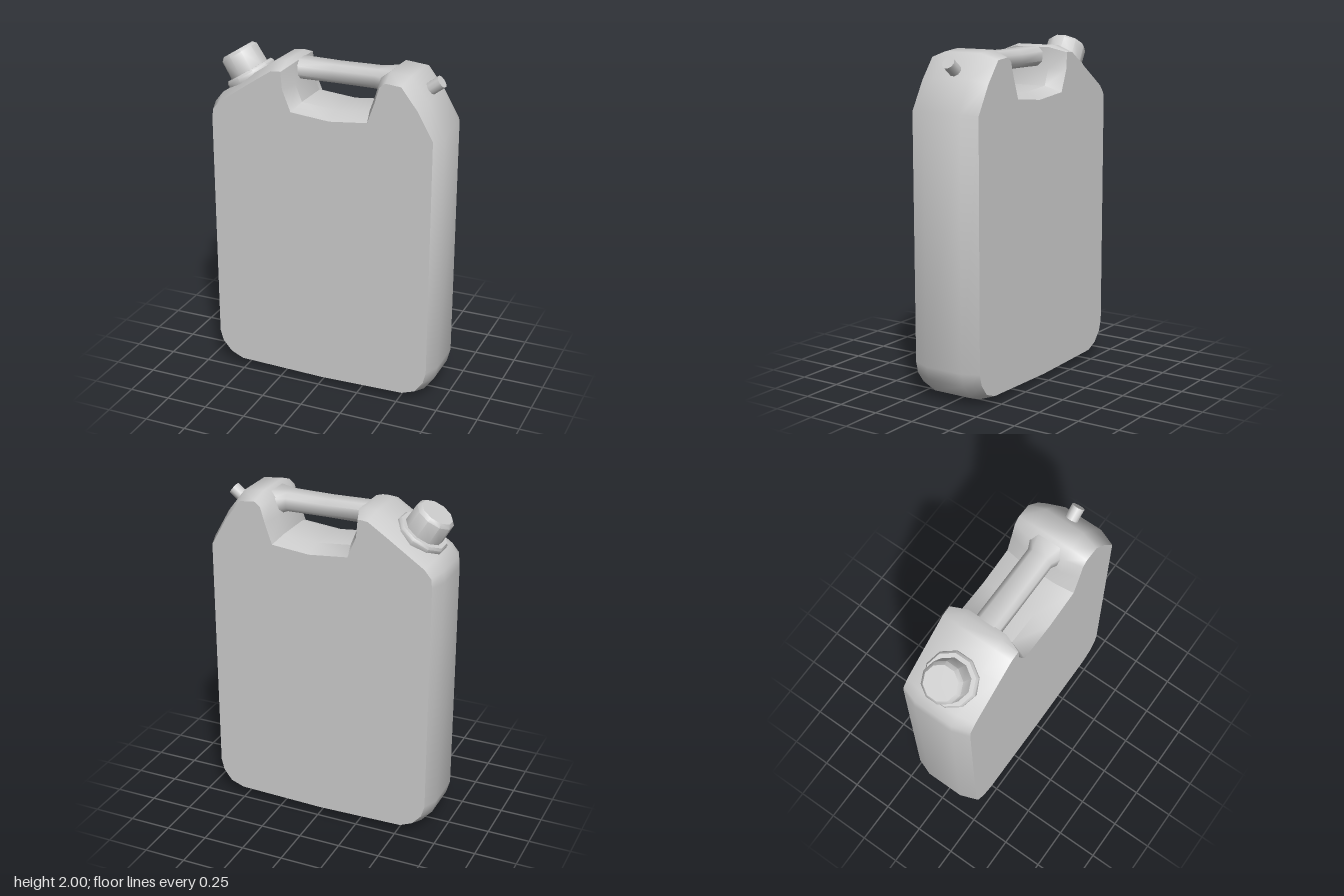
import * as THREE from 'three';
import { toCreasedNormals } from 'three/addons/utils/BufferGeometryUtils.js';

const material = new THREE.MeshStandardMaterial({ color: 0xcccccc });

function part(name, geometry) {
  const mesh = new THREE.Mesh(geometry, material);
  mesh.name = name;
  return mesh;
}

// Skins a list of equal-length closed rings of Vector3; extra holds cap triangles
function loft(rings, extra = []) {
  const n = rings[0].length;
  const index = [...extra];
  for (let r = 0; r < rings.length - 1; r++) {
    for (let i = 0; i < n; i++) {
      const a = r * n + i, b = r * n + (i + 1) % n;
      index.push(a, b, a + n, b, b + n, a + n);
    }
  }
  const geometry = new THREE.BufferGeometry().setFromPoints(rings.flat());
  geometry.setIndex(index);
  return toCreasedNormals(geometry, 1.05);
}

// Moves every corner of a counter-clockwise outline inwards by a mitred distance
function inset(points, d) {
  const n = points.length;
  const normal = (a, b) => new THREE.Vector2(a.y - b.y, b.x - a.x).normalize();
  return points.map((p, i) => {
    const n1 = normal(points[(i + n - 1) % n], p);
    const n2 = normal(p, points[(i + 1) % n]);
    return n1.clone().add(n2).multiplyScalar(d / (1 + n1.dot(n2))).add(p);
  });
}

// Tank: side outline with the handle notch, chamfered towards both faces
function createBody() {
  const outline = [
    [-0.53, 0.015], [0, 0.003], [0.53, 0.015], [0.625, 0.05], [0.685, 0.13], [0.705, 0.21],
    [0.705, 1.65], [0.605, 1.825], [0.5, 1.96], [0.38, 1.972], [0.325, 1.93], [0.295, 1.83],
    [0.26, 1.73], [0.06, 1.71], [-0.15, 1.73], [-0.19, 1.83], [-0.2, 1.95],
    [-0.24, 1.962], [-0.305, 1.955], [-0.42, 1.88], [-0.65, 1.725], [-0.7, 1.665],
    [-0.708, 1.6], [-0.708, 0.21], [-0.685, 0.13], [-0.62, 0.055],
  ].map(([x, y]) => new THREE.Vector2(x, y));
  const rings = [[0.22, 0.036], [0.12, 0], [-0.12, 0], [-0.22, 0.036]].map(([z, d]) =>
    inset(outline, d).map((p) => new THREE.Vector3(p.x, p.y, z)));
  const last = 3 * outline.length;
  const caps = [];
  for (const [a, b, c] of THREE.ShapeUtils.triangulateShape(inset(outline, 0.036), [])) {
    caps.push(a, b, c, last + a, last + c, last + b);
  }
  // Rings run front to back, so the skin is wound outwards by reversing the order
  const geometry = loft(rings.reverse(), caps.map((i) => {
    const n = outline.length;
    return (3 - Math.floor(i / n)) * n + i % n;
  }));
  return part('body', geometry);
}

// Grip: bevelled bar flaring into both shoulders
function createHandle() {
  const sections = [
    [-0.32, 0.17, 1.78, 1.93], [-0.225, 0.075, 1.84, 1.952], [0.02, 0.075, 1.842, 1.947],
    [0.27, 0.075, 1.84, 1.95], [0.38, 0.125, 1.8, 1.958],
  ];
  const corner = [[1, 0.5], [0.6, 1], [-0.6, 1], [-1, 0.5], [-1, -0.5], [-0.6, -1], [0.6, -1], [1, -0.5]];
  const rings = sections.map(([x, w, low, high]) => corner.map(([u, v]) =>
    new THREE.Vector3(x, (low + high) / 2 + v * (high - low) / 2, -u * w)));
  return part('handle', loft(rings));
}

// Collar and screw cap, turned as one profile on the sloping shoulder
function createSpout() {
  const spout = new THREE.Group();
  spout.name = 'spout';
  const turned = (name, profile) => part(name, toCreasedNormals(
    new THREE.LatheGeometry(profile.map(([r, y]) => new THREE.Vector2(r, y)), 10), 0.75));
  spout.add(
    turned('collar', [[0.14, -0.07], [0.155, -0.03], [0.155, 0.002], [0.145, 0.016], [0, 0.016]]),
    turned('cap', [[0.12, 0.01], [0.117, 0.13], [0.098, 0.15], [0, 0.15]]),
  );
  spout.position.set(-0.53, 1.823, 0);
  spout.rotation.z = 0.56;
  return spout;
}

// Small vent plug on the opposite shoulder
function createVent() {
  const vent = part('ventPlug', new THREE.CylinderGeometry(0.038, 0.038, 0.15, 10));
  const axis = new THREE.Vector3(0.8, 0.6, 0);
  vent.quaternion.setFromUnitVectors(new THREE.Vector3(0, 1, 0), axis);
  vent.position.set(0.635, 1.913, 0).addScaledVector(axis, -0.075);
  return vent;
}

export function createModel() {
  const model = new THREE.Group();
  model.name = 'fuelCan';
  model.add(createBody(), createHandle(), createSpout(), createVent());
  return model;
}
